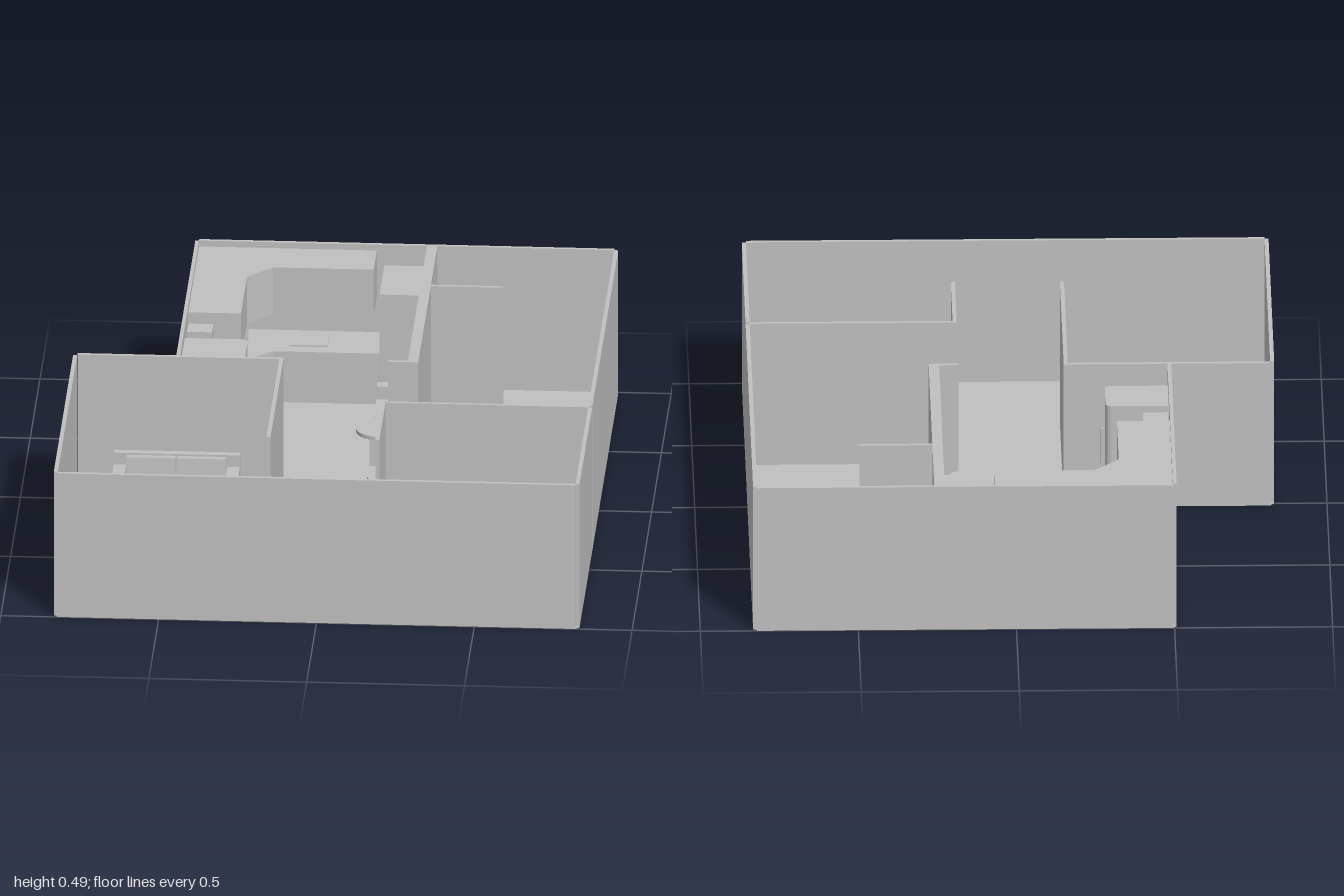
import * as THREE from 'three';

const grey = new THREE.MeshStandardMaterial({ color: 0xc0c0c0, flatShading: true });
grey.name = 'plain grey';
const smoothGrey = grey; // one colour for everything

function add(parent, name, geometry) {
  const mesh = new THREE.Mesh(geometry, smoothGrey);
  mesh.name = name;
  parent.add(mesh);
  return mesh;
}

// Box given by its minimum and maximum corners
function box(parent, name, x0, x1, y0, y1, z0, z1) {
  const mesh = add(parent, name, new THREE.BoxGeometry(x1 - x0, y1 - y0, z1 - z0));
  mesh.position.set((x0 + x1) / 2, (y0 + y1) / 2, (z0 + z1) / 2);
  return mesh;
}

// Plan outline given as [x, z] pairs, raised from y0 to y1
function slab(parent, name, plan, y0, y1) {
  const shape = new THREE.Shape(plan.map(([x, z]) => new THREE.Vector2(x, -z)));
  const geometry = new THREE.ExtrudeGeometry(shape, { depth: y1 - y0, bevelEnabled: false });
  geometry.rotateX(-Math.PI / 2);
  geometry.translate(0, y0, 0);
  return add(parent, name, geometry);
}

// Two-seat sofa, its back along local z = 0, facing +z
function makeSofa(name) {
  const sofa = new THREE.Group();
  sofa.name = name;
  box(sofa, 'sofaBase', -0.2, 0.2, 0.005, 0.055, 0, 0.138);
  box(sofa, 'sofaBack', -0.2, 0.2, 0.055, 0.17, 0, 0.025);
  for (const s of [-1, 1]) {
    box(sofa, 'sofaArm', s * 0.18 - 0.02, s * 0.18 + 0.02, 0.055, 0.13, 0.025, 0.138);
    box(sofa, 'seatCushion', s * 0.08 - 0.078, s * 0.08 + 0.078, 0.055, 0.088, 0.05, 0.14);
    const cushion = box(sofa, 'backCushion', s * 0.08 - 0.078, s * 0.08 + 0.078, 0.085, 0.165, 0.025, 0.055);
    cushion.rotation.x = -0.08;
  }
  return sofa;
}

export function createModel() {
  const model = new THREE.Group();
  model.name = 'apartment';
  const H = 0.49;

  // Floor with cut corners and a notch at the back
  slab(model, 'floor', [
    [-0.833, 0], [-0.82, -0.017], [-0.507, -0.017], [-0.507, -0.987], [-0.495, -1], [0.82, -1],
    [0.833, -0.987], [0.833, 0.987], [0.82, 1], [-0.82, 1], [-0.833, 0.987],
  ], 0, 0.005);

  // Outer walls
  const walls = new THREE.Group();
  walls.name = 'walls';
  model.add(walls);
  for (const [x0, x1, z0, z1] of [
    [-0.82, 0.82, 0.987, 1],
    [-0.833, -0.82, 0, 0.987],
    [0.82, 0.833, 0.342, 0.987],
    [0.82, 0.833, -0.987, 0.328],
    [-0.495, 0.82, -1, -0.987],
    [-0.507, -0.495, -0.987, -0.017],
    [-0.82, -0.167, -0.017, -0.004],
  ]) box(walls, 'outerWall', x0, x1, 0.005, H, z0, z1);

  // Room dividers
  for (const [x0, x1, z0, z1] of [
    [-0.18, -0.167, -0.004, 0.655],
    [0.165, 0.178, 0.342, 0.655],
    [0.165, 0.822, 0.329, 0.341],
    [0.227, 0.26, -0.987, -0.004],
    [0.165, 0.227, -0.017, -0.004],
    [0.26, 0.49, -0.661, -0.649],
  ]) box(walls, 'innerWall', x0, x1, 0.005, H, z0, z1);

  // Kitchen run: an L with a diagonal inner corner
  const kitchen = new THREE.Group();
  kitchen.name = 'kitchen';
  model.add(kitchen);
  const runPlan = (front, back, end) => [
    [-0.495, -0.987], [end, -0.987], [end, back], [-0.25, back],
    [front, -0.74], [front, -0.43], [-0.495, -0.43],
  ];
  slab(kitchen, 'plinth', runPlan(-0.345, -0.84, 0.075), 0.005, 0.025);
  slab(kitchen, 'baseCabinets', runPlan(-0.33, -0.822, 0.085), 0.025, 0.18);
  slab(kitchen, 'countertop', runPlan(-0.318, -0.805, 0.09), 0.18, 0.192);
  slab(kitchen, 'wallCabinets', runPlan(-0.328, -0.825, 0.068), 0.31, 0.47);

  // Drawer handles, hob plate and appliances on the counter
  for (const z of [-0.69, -0.58, -0.48]) box(kitchen, 'drawerHandle', -0.33, -0.322, 0.15, 0.158, z - 0.03, z + 0.03);
  box(kitchen, 'sinkPlate', -0.2, -0.08, 0.192, 0.197, -0.95, -0.85);
  box(kitchen, 'counterOven', -0.48, -0.36, 0.192, 0.28, -0.65, -0.51);
  box(kitchen, 'counterOvenDoor', -0.36, -0.353, 0.2, 0.272, -0.64, -0.53);
  const cornerOven = box(kitchen, 'cornerAppliance', -0.47, -0.35, 0.192, 0.28, -0.93, -0.83);
  cornerOven.rotation.y = Math.PI / 4;

  // Cooker with door, rail and hob rings
  box(kitchen, 'cooker', -0.495, -0.345, 0.005, 0.192, -0.428, -0.265);
  box(kitchen, 'cookerDoor', -0.345, -0.337, 0.04, 0.15, -0.42, -0.273);
  box(kitchen, 'cookerRail', -0.337, -0.331, 0.152, 0.16, -0.42, -0.273);
  for (const x of [-0.455, -0.385]) for (const z of [-0.385, -0.31]) {
    add(kitchen, 'hobRing', new THREE.CylinderGeometry(0.024, 0.024, 0.005, 20)).position.set(x, 0.194, z);
  }

  // Extractor hood: a sloped canopy below a chimney
  const canopy = new THREE.CylinderGeometry(0.045 * Math.SQRT2, 0.07 * Math.SQRT2, 0.06, 4);
  canopy.rotateY(Math.PI / 4);
  canopy.scale(0.86, 1, 1.05);
  add(kitchen, 'hoodCanopy', canopy).position.set(-0.432, 0.345, -0.35);
  box(kitchen, 'hoodRim', -0.492, -0.37, 0.3, 0.315, -0.424, -0.276);
  box(kitchen, 'hoodChimney', -0.492, -0.412, 0.375, 0.45, -0.385, -0.315);

  // Refrigerator with rounded front corners
  const rounded = [[-0.495, -0.1], [-0.495, -0.263]];
  for (const [cz, start] of [[-0.243, -90], [-0.12, 0]]) {
    for (let i = 0; i <= 5; i++) {
      const a = THREE.MathUtils.degToRad(start + i * 18);
      rounded.push([-0.315 + 0.02 * Math.cos(a), cz + 0.02 * Math.sin(a)]);
    }
  }
  slab(kitchen, 'refrigerator', rounded, 0.005, 0.45);
  box(kitchen, 'refrigeratorHandle', -0.297, -0.282, 0.2, 0.32, -0.141, -0.133);

  // Tall cupboard beside the counter
  box(kitchen, 'tallCupboard', 0.092, 0.227, 0.005, 0.42, -0.987, -0.74);

  // Sofas
  const lounge = makeSofa('loungeSofa');
  lounge.position.set(-0.503, 0, 0);
  const wallSofa = makeSofa('kitchenSofa');
  wallSofa.position.set(0.225, 0, -0.52);
  wallSofa.rotation.y = -Math.PI / 2;
  model.add(lounge, wallSofa);

  // Round table
  const table = new THREE.Group();
  table.name = 'roundTable';
  table.position.set(0.13, 0, -0.212);
  for (const [name, r, y, h] of [['tableTop', 0.08, 0.174, 0.012], ['tableStem', 0.01, 0.09, 0.16], ['tableFoot', 0.045, 0.01, 0.01]]) {
    add(table, name, new THREE.CylinderGeometry(r, r, h, 32)).position.y = y;
  }
  model.add(table);
  return model;
}
